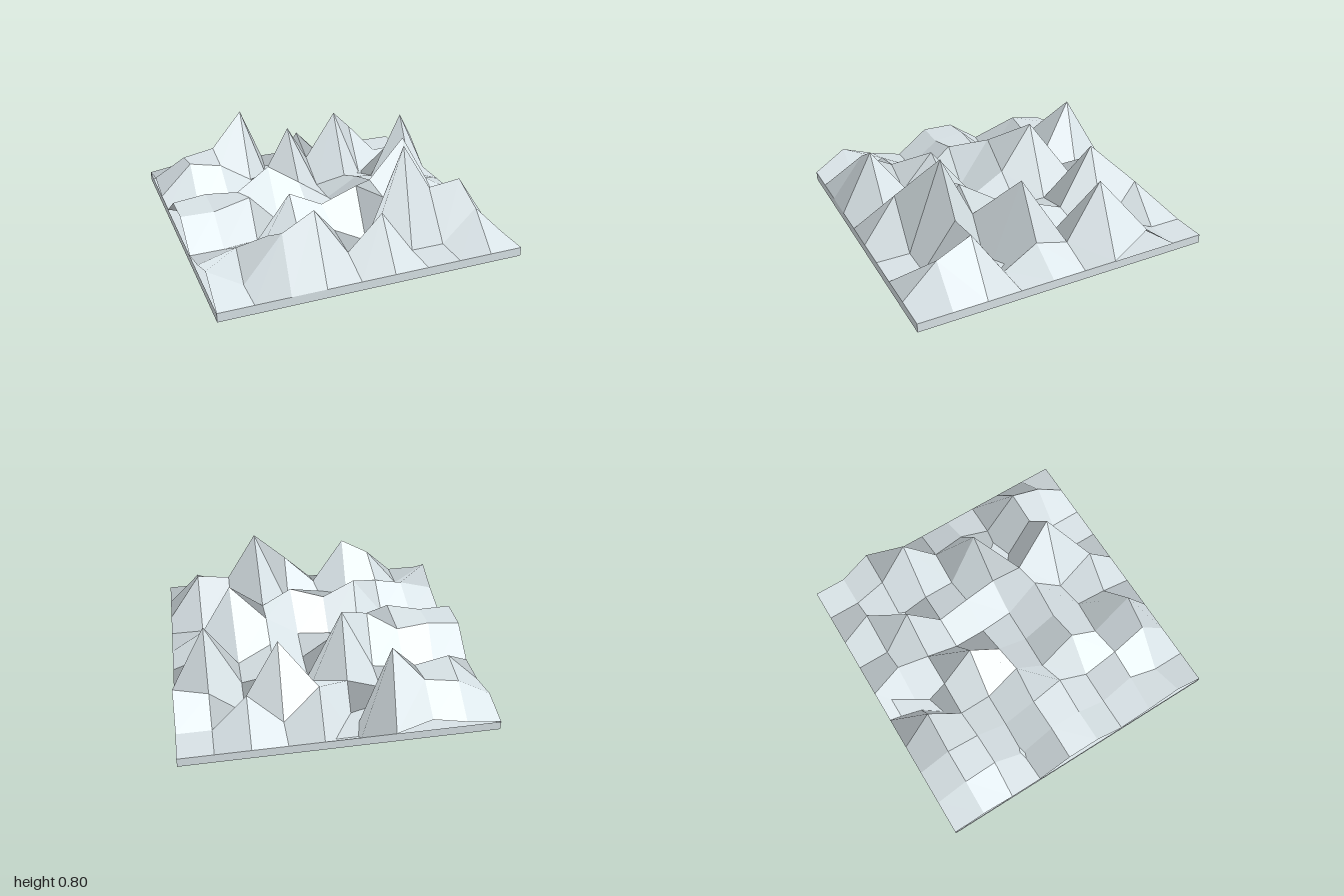
import * as THREE from 'three';

// Terrain heights in hundredths, one row per z from back to front, x left to right
const HEIGHTS = [
  [17, 20, 25, 17, 17, 17, 17, 17, 17, 17],
  [22, 35, 39, 65.5, 0.5, 42, 17, 41, 17, 17],
  [17, 39, 34, 19, 27, 30, 63, 9.5, 28, 34],
  [17, 9.5, 17, 20, 65.5, 17, 21, 17, 63.5, 17],
  [33, 35.5, 33, 48.5, 33, 17, 30, 17, 25, 17],
  [33.5, 33, 39, 17, 20, 22, 37, 65, 31, 17],
  [17, 17, 19, 48.5, 37, 46, 34, 0.5, 17, 17],
  [23, 30, 34, 24, 29, 17, 80, 47.5, 50, 17],
  [31.5, 17, 47, 58.5, 25, 48, 17, 17, 39, 17],
  [17, 17, 17, 17, 17, 17, 17, 17, 17, 17],
];
// Grid points [row, column] nudged slightly toward +x
const NUDGED = [[5, 2], [5, 7], [6, 5], [7, 1], [7, 6], [8, 2]];

// Gives both triangles of every grid square one shared normal
function shadeBySquare(geometry) {
  const { position, normal } = geometry.attributes;
  const a = new THREE.Vector3();
  const b = new THREE.Vector3();
  for (let q = 0; q < position.count; q += 6) {
    a.fromBufferAttribute(normal, q);
    b.fromBufferAttribute(normal, q + 3);
    // divide by y so both triangles count by their equal ground area
    a.divideScalar(a.y).addScaledVector(b, 1 / b.y).normalize();
    for (let k = q; k < q + 6; k++) normal.setXYZ(k, a.x, a.y, a.z);
  }
}

export function createModel() {
  const model = new THREE.Group();
  const material = new THREE.MeshStandardMaterial({ color: 0xd8e2e6, side: THREE.DoubleSide });

  // Shallow square tray: floor and four low walls, open at the top
  const tray = new THREE.BoxGeometry(2, 0.06, 2);
  const faces = Array.from(tray.index.array);
  faces.splice(12, 6);
  tray.setIndex(faces);
  tray.clearGroups();
  const base = new THREE.Mesh(tray, material);
  base.name = 'baseTray';
  base.position.y = 0.14;
  model.add(base);

  // Faceted mountain surface: a 9 x 9 grid lifted by the height table
  const grid = new THREE.PlaneGeometry(2, 2, 9, 9).rotateX(-Math.PI / 2);
  const points = grid.attributes.position;
  HEIGHTS.forEach((row, j) => row.forEach((h, i) => points.setY(j * 10 + i, h / 100)));
  for (const [j, i] of NUDGED) {
    const k = j * 10 + i;
    points.setX(k, points.getX(k) + 0.021);
  }
  const surface = grid.toNonIndexed();
  surface.computeVertexNormals();
  shadeBySquare(surface);
  const terrain = new THREE.Mesh(surface, material);
  terrain.name = 'mountainTerrain';
  model.add(terrain);

  return model;
}
